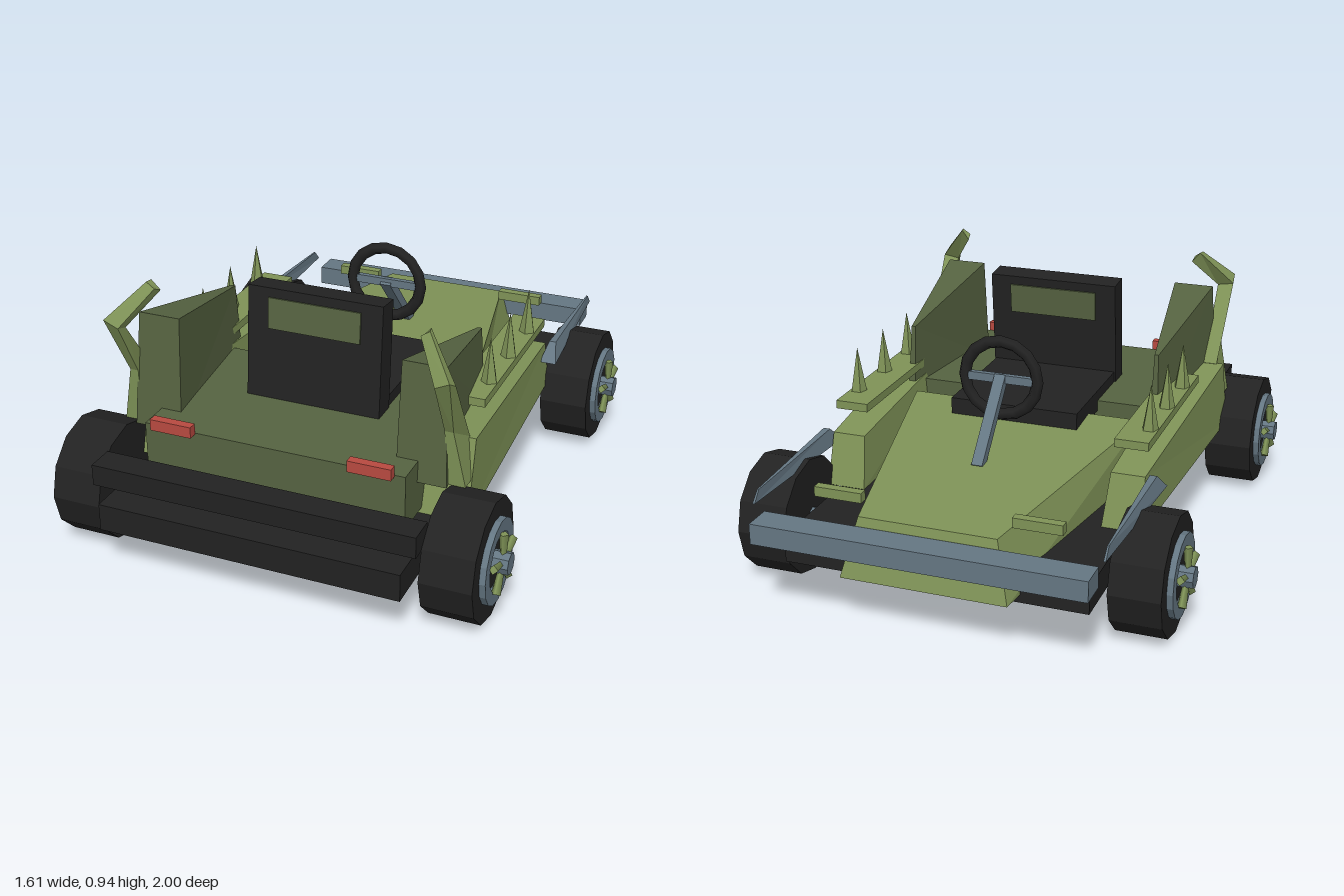
import * as THREE from 'three';

const paint = (name, color) => {
  const m = new THREE.MeshStandardMaterial({ color });
  m.name = name;
  return m;
};

export function createModel() {
  const car = new THREE.Group();
  car.name = 'buggy';
  const lime = paint('light green', 0x7f9357);
  const olive = paint('dark green', 0x566341);
  const black = paint('black', 0x222222);
  const steel = paint('blue grey', 0x657783);
  const red = paint('red', 0xb84a40);

  const add = (name, geo, mat, x = 0, y = 0, z = 0, parent = car) => {
    const mesh = new THREE.Mesh(geo, mat);
    mesh.name = name;
    mesh.position.set(x, y, z);
    parent.add(mesh);
    return mesh;
  };
  // Box given by its limits
  const box = (name, mat, [x0, x1], [y0, y1], [z0, z1], parent = car) =>
    add(name, new THREE.BoxGeometry(x1 - x0, y1 - y0, z1 - z0), mat,
      (x0 + x1) / 2, (y0 + y1) / 2, (z0 + z1) / 2, parent);

  // Flat-faced solid through four-cornered rings; side = -1 mirrors it in x
  const loft = (name, mat, rings, side = 1) => {
    const r = rings.map(ring => ring.map(p => new THREE.Vector3(p[0] * side, p[1], p[2])));
    const tris = [];
    const quad = (a, b, c, d) => tris.push([a, b, c], [a, c, d]);
    quad(...[...r[0]].reverse());
    quad(...r[r.length - 1]);
    for (let i = 0; i + 1 < r.length; i++)
      for (let k = 0; k < 4; k++) {
        const n = (k + 1) % 4;
        quad(r[i][k], r[i][n], r[i + 1][n], r[i + 1][k]);
      }
    // Turn the faces outward
    let volume = 0;
    for (const [a, b, c] of tris) volume += a.dot(b.clone().cross(c));
    if (volume < 0) tris.forEach(t => t.reverse());
    const geo = new THREE.BufferGeometry().setFromPoints(tris.flat());
    geo.computeVertexNormals();
    return add(name, geo, mat);
  };

  // Chassis, bumpers and rear deck
  box('chassis', black, [-0.533, 0.533], [0.165, 0.262], [-0.85, 1]);
  box('rearBumper', black, [-0.57, 0.57], [0.31, 0.385], [0.865, 0.965]);
  box('frontBumper', steel, [-0.575, 0.575], [0.292, 0.365], [-1, -0.897]);
  box('rearDeck', olive, [-0.465, 0.465], [0.28, 0.475], [0.16, 0.785]);

  // Hood narrowing towards the nose
  loft('hood', lime, [
    [[-0.45, 0.25, 0.09], [0.45, 0.25, 0.09], [0.44, 0.465, 0.05], [-0.44, 0.465, 0.05]],
    [[-0.29, 0.19, -0.935], [0.29, 0.19, -0.935], [0.24, 0.395, -0.885], [-0.24, 0.395, -0.885]],
  ]);

  // Seat
  box('seatBase', black, [-0.24, 0.24], [0.435, 0.515], [-0.09, 0.4]);
  const back = new THREE.Group();
  back.name = 'seatBack';
  back.position.set(0, 0.66, 0.402);
  back.rotation.x = -0.09;
  car.add(back);
  box('backrest', black, [-0.245, 0.245], [-0.21, 0.208], [-0.045, 0.045], back);
  box('backrestPanel', olive, [-0.168, 0.168], [0.065, 0.175], [-0.051, 0.051], back);

  // Steering wheel, crossbar and column
  add('steeringWheel', new THREE.TorusGeometry(0.135, 0.022, 6, 16), black, 0, 0.665, -0.213);
  box('steeringCrossbar', steel, [-0.12, 0.12], [0.65, 0.68], [-0.225, -0.205]);
  const column = add('steeringColumn', new THREE.BoxGeometry(0.04, 0.34, 0.035), steel, 0, 0.545, -0.325);
  column.rotation.x = Math.atan2(0.22, 0.24);

  for (const s of [1, -1]) {
    // Side pod
    loft('sidePod', lime, [
      [[0.45, 0.262, 0.64], [0.625, 0.262, 0.64], [0.62, 0.53, 0.56], [0.45, 0.53, 0.56]],
      [[0.44, 0.262, -0.43], [0.58, 0.262, -0.43], [0.575, 0.445, -0.38], [0.455, 0.445, -0.38]],
    ], s);
    // Upright fin beside the seat
    loft('seatFin', olive, [
      [[0.46, 0.4, 0.08], [0.49, 0.4, 0.08], [0.48, 0.7, 0.107], [0.465, 0.7, 0.107]],
      [[0.39, 0.4, 0.68], [0.565, 0.4, 0.68], [0.545, 0.808, 0.645], [0.395, 0.808, 0.645]],
    ], s);
    // Bent horn at the rear corner
    loft('horn', lime, [
      [[0.555, 0.4, 0.6], [0.62, 0.4, 0.6], [0.62, 0.4, 0.655], [0.555, 0.4, 0.655]],
      [[0.545, 0.53, 0.55], [0.595, 0.53, 0.55], [0.58, 0.6, 0.67], [0.55, 0.6, 0.67]],
      [[0.545, 0.79, 0.735], [0.605, 0.8, 0.735], [0.6, 0.825, 0.78], [0.55, 0.8, 0.775]],
      [[0.46, 0.9, 0.64], [0.49, 0.935, 0.645], [0.495, 0.935, 0.67], [0.465, 0.915, 0.672]],
    ], s);
    // Blade above the front wheel
    loft('frontBlade', steel, [
      [[0.575, 0.395, -0.315], [0.635, 0.395, -0.315], [0.615, 0.455, -0.38], [0.59, 0.455, -0.38]],
      [[0.596, 0.397, -0.92], [0.604, 0.397, -0.92], [0.603, 0.435, -0.885], [0.597, 0.435, -0.885]],
    ], s);
    // Spike rail
    add('spikeRail', new THREE.BoxGeometry(0.12, 0.03, 0.69), lime, s * 0.515, 0.54, -0.005);
    for (const z of [0.205, -0.01, -0.228]) {
      const cone = new THREE.ConeGeometry(0.03, 0.165, 5).toNonIndexed();
      cone.computeVertexNormals();
      add('spike', cone, lime, s * 0.545, 0.635, z);
    }
    // Lamps
    add('tailLamp', new THREE.BoxGeometry(0.15, 0.04, 0.032), red, s * 0.353, 0.49, 0.8);
    add('headLamp', new THREE.BoxGeometry(0.17, 0.035, 0.033), lime, s * 0.347, 0.423, -0.797);
  }

  // Wheels
  const disc = (name, mat, radius, x0, x1, sides, parent) => {
    const geo = new THREE.CylinderGeometry(radius, radius, x1 - x0, sides).toNonIndexed();
    geo.computeVertexNormals();
    geo.rotateZ(-Math.PI / 2);
    return add(name, geo, mat, (x0 + x1) / 2, 0, 0, parent);
  };
  const rimShape = new THREE.Shape().absarc(0, 0, 0.145, 0, Math.PI * 2);
  rimShape.holes.push(new THREE.Path().absarc(0, 0, 0.1, 0, Math.PI * 2, true));
  const rimGeo = new THREE.ExtrudeGeometry(rimShape, { depth: 0.03, bevelEnabled: false, curveSegments: 8 });
  rimGeo.rotateY(Math.PI / 2);
  const spokeGeo = new THREE.CylinderGeometry(0.016, 0.01, 0.09, 4);
  spokeGeo.translate(0, 0.06, 0);

  for (const z of [0.735, -0.578]) {
    disc('axle', steel, 0.028, -0.6, 0.6, 8, add('axleMount', new THREE.BoxGeometry(0.3, 0.06, 0.06), black, 0, 0.21, z));
    for (const s of [1, -1]) {
      const wheel = new THREE.Group();
      wheel.name = 'wheel';
      wheel.position.set(0, 0.21, z);
      wheel.rotation.y = s > 0 ? 0 : Math.PI;
      car.add(wheel);
      disc('tyre', black, 0.21, 0.57, 0.747, 12, wheel);
      add('rim', rimGeo, steel, 0.738, 0, 0, wheel);
      disc('hub', steel, 0.038, 0.74, 0.805, 8, wheel);
      for (let i = 0; i < 5; i++) {
        const spoke = add('spoke', spokeGeo, lime, 0.778, 0, 0, wheel);
        spoke.rotation.x = i * Math.PI * 2 / 5;
      }
    }
  }
  return car;
}
